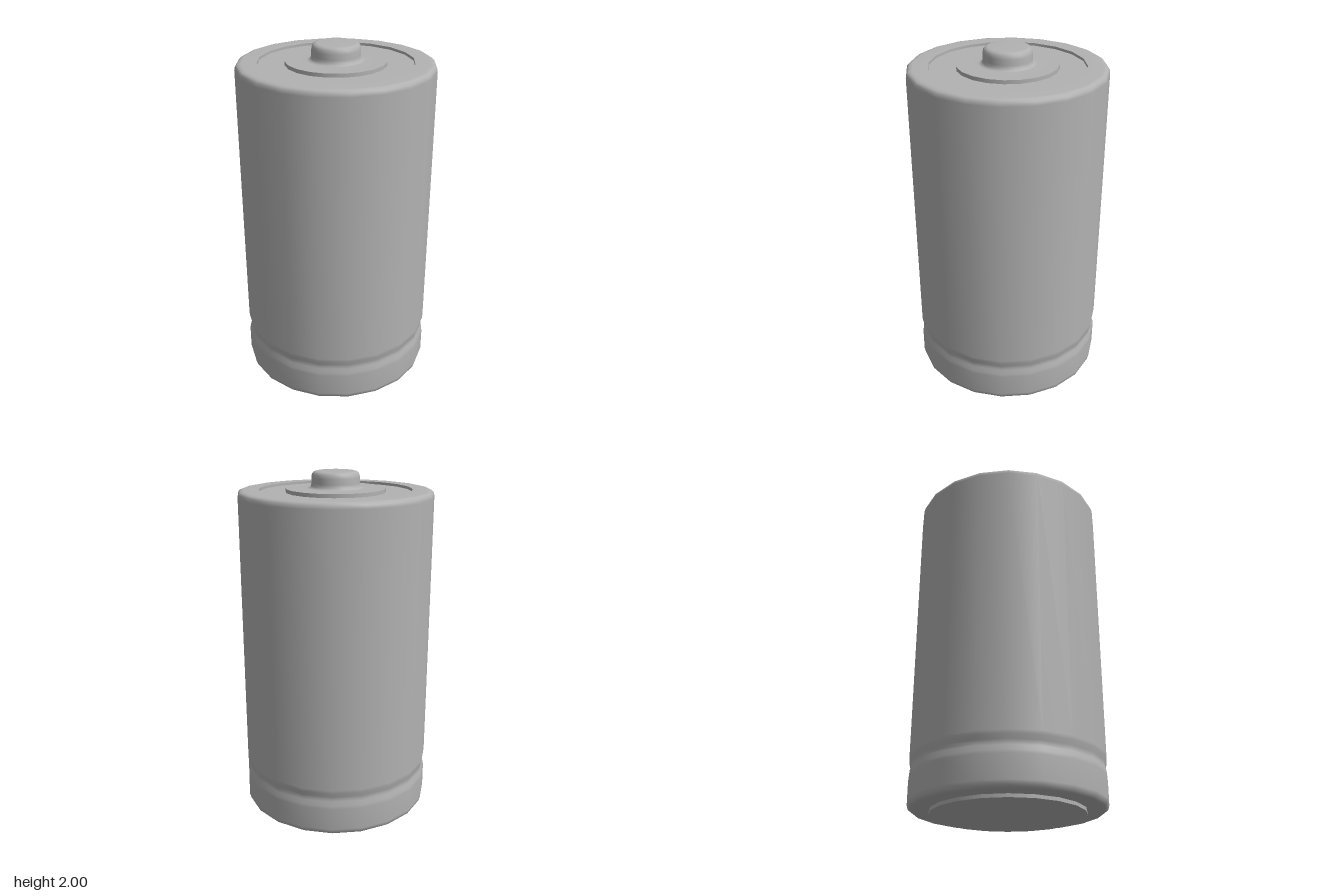
import * as THREE from 'three';

const SIDES = 20;

export function createModel() {
  const model = new THREE.Group();
  model.name = 'battery';
  const grey = new THREE.MeshStandardMaterial({ color: 0xb2b2b2 });
  grey.name = 'grey metal';

  // Each profile runs from the underside outwards, up, then back to the axis
  const turn = (name, profile) => {
    const points = profile.map(([r, y]) => new THREE.Vector2(r, y));
    const mesh = new THREE.Mesh(new THREE.LatheGeometry(points, SIDES), grey);
    mesh.name = name;
    model.add(mesh);
  };

  // Bottom contact plate and its short wall
  turn('bottomContact', [[0, 0], [0.425, 0], [0.43, 0.003]]);
  turn('bottomContactWall', [[0.43, 0.003], [0.43, 0.022]]);

  // Casing with rounded rims and a shallow pressed groove near the base
  turn('casing', [
    [0.43, 0.022], [0.515, 0.022], [0.53, 0.025], [0.543, 0.035], [0.55, 0.06],
    [0.55, 0.19], [0.548, 0.21], [0.541, 0.235], [0.539, 0.25], [0.541, 0.265],
    [0.548, 0.29], [0.55, 0.31],
    [0.55, 1.865], [0.546, 1.885], [0.535, 1.896], [0.515, 1.9], [0.43, 1.9],
  ]);

  // Recessed ring around the top
  turn('recessWall', [[0.43, 1.9], [0.43, 1.885]]);
  turn('recessFloor', [[0.43, 1.885], [0.28, 1.885]]);

  // Raised top contact with a rounded button
  turn('topContactWall', [[0.28, 1.885], [0.28, 1.906]]);
  turn('topContact', [
    [0.28, 1.906], [0.16, 1.906], [0.145, 1.909], [0.137, 1.92], [0.135, 1.935],
    [0.135, 1.965], [0.131, 1.985], [0.121, 1.996], [0.105, 2], [0, 2],
  ]);

  return model;
}
